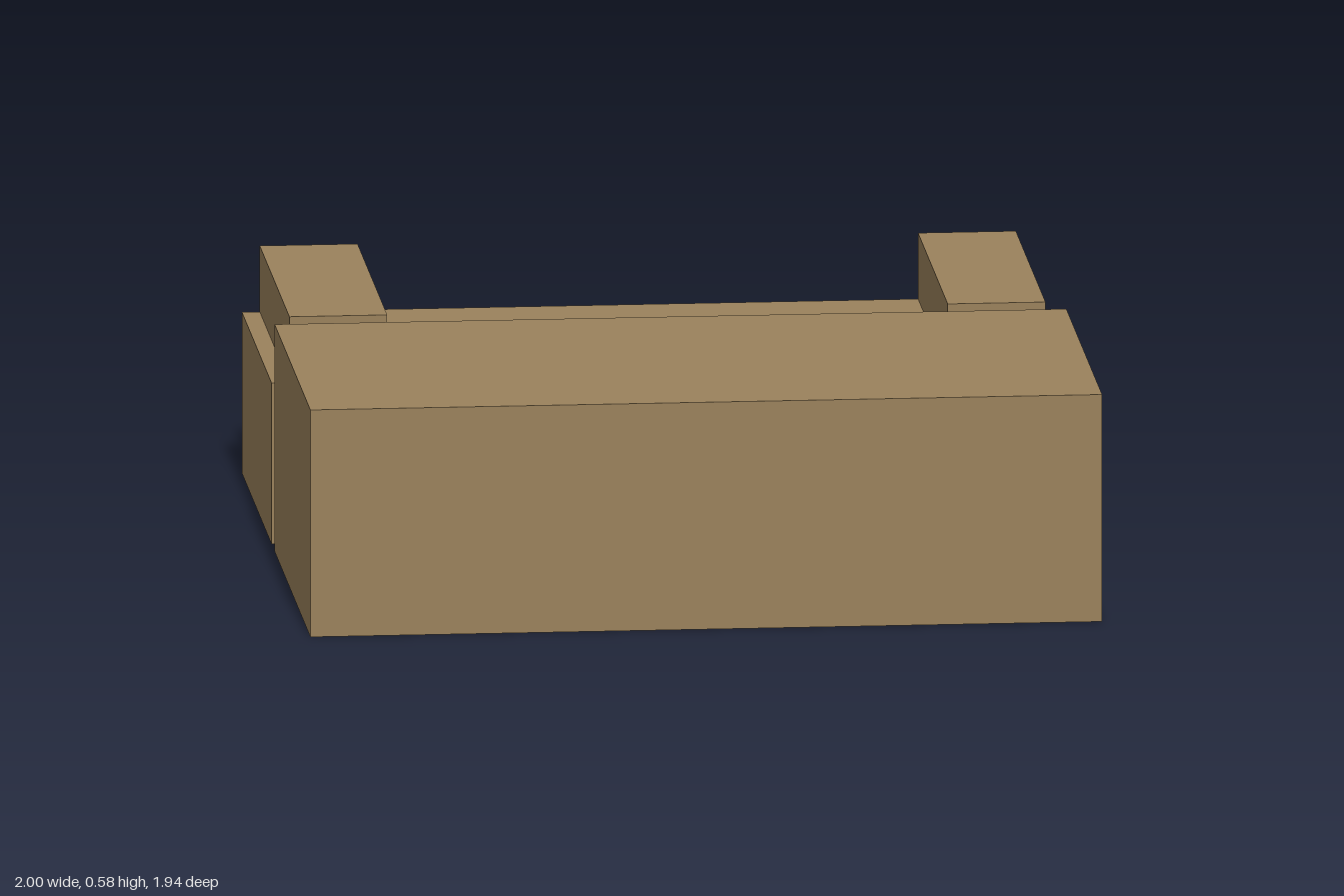
import * as THREE from 'three';

const brown = new THREE.MeshStandardMaterial({ color: 0x9b825c });
const amber = new THREE.MeshStandardMaterial({ color: 0xe0a040 });
const teal = new THREE.MeshStandardMaterial({ color: 0x2aa5a0 });

// Box given by its minimum and maximum corners
function box(name, material, [x0, y0, z0], [x1, y1, z1]) {
  const mesh = new THREE.Mesh(new THREE.BoxGeometry(x1 - x0, y1 - y0, z1 - z0), material);
  mesh.position.set((x0 + x1) / 2, (y0 + y1) / 2, (z0 + z1) / 2);
  mesh.name = name;
  return mesh;
}

export function createModel() {
  const model = new THREE.Group();
  model.name = 'splitBlock';
  const top = 0.585, floor = 0.415, back = -0.945, split = -0.115;

  // Plain front block
  model.add(box('frontBlock', brown, [-1, 0, -0.03], [1, top, 0.97]));

  // Rear block: one stepped section with a raised rail on each side
  const shape = new THREE.Shape([
    [-1, 0], [1, 0], [1, floor], [0.955, floor], [0.955, top], [0.708, top], [0.708, floor],
    [-0.708, floor], [-0.708, top], [-0.955, top], [-0.955, floor], [-1, floor],
  ].map(([x, y]) => new THREE.Vector2(x, y)));
  const geometry = new THREE.ExtrudeGeometry(shape, { depth: split - back, bevelEnabled: false });
  const rear = new THREE.Mesh(geometry, brown);
  rear.position.z = back;
  rear.name = 'rearBlock';
  model.add(rear);

  // Long amber bar on the back
  model.add(box('backBar', amber, [-0.5, 0.342, -0.97], [0.5, 0.398, back]));

  // Small teal plates facing the gap
  for (const [side, x] of [['left', 0.782], ['right', -0.782]]) {
    model.add(box(side + 'GapPlate', teal, [x - 0.05, 0.138, split], [x + 0.05, 0.223, split + 0.009]));
  }
  return model;
}
